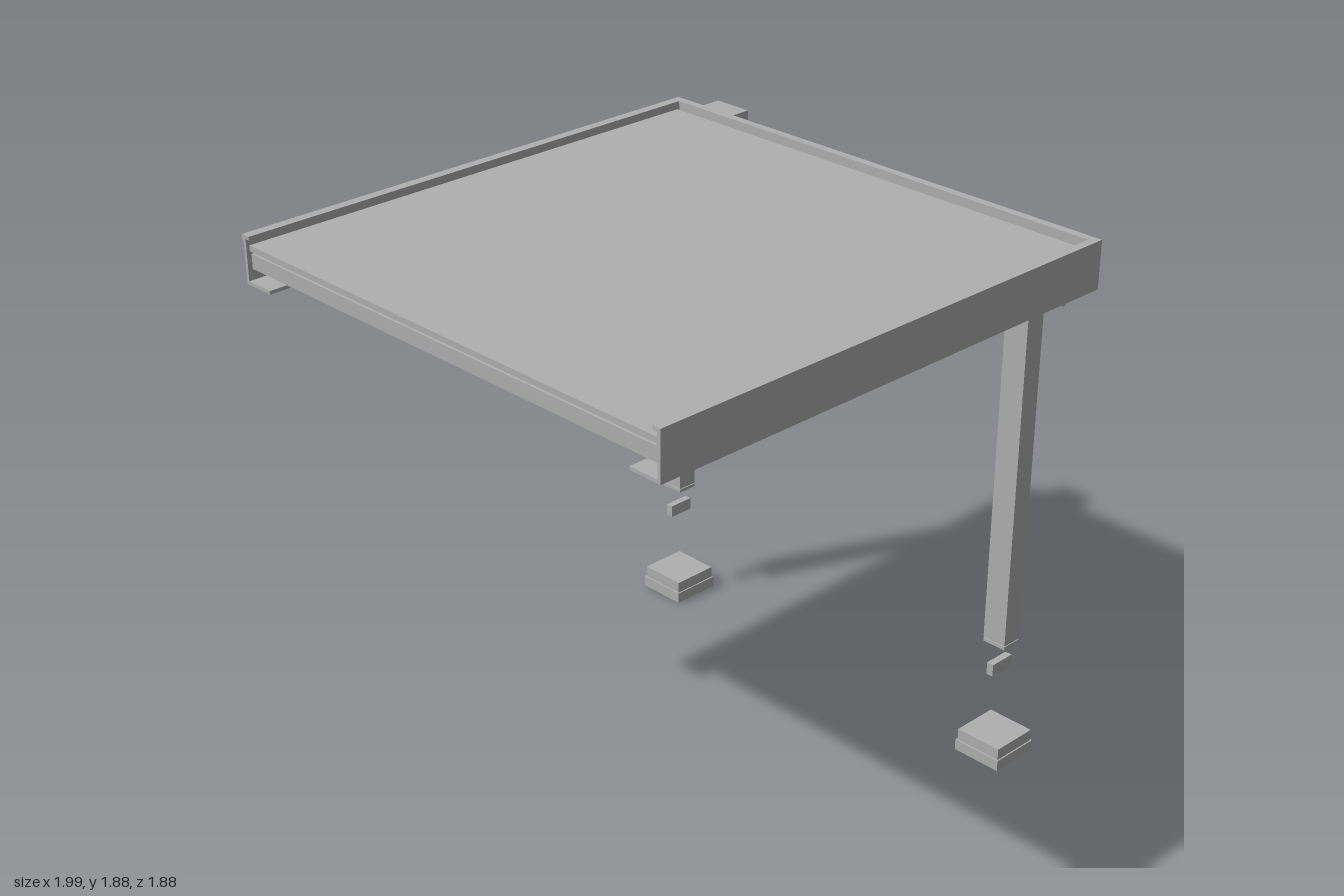
import * as THREE from 'three';

const grey = new THREE.MeshStandardMaterial({ color: 0xb0b0b0 });
grey.name = 'painted aluminium';

// Box given by its min and max along each axis
function box(parent, name, [x0, x1], [y0, y1], [z0, z1]) {
  const mesh = new THREE.Mesh(new THREE.BoxGeometry(x1 - x0, y1 - y0, z1 - z0), grey);
  mesh.position.set((x0 + x1) / 2, (y0 + y1) / 2, (z0 + z1) / 2);
  mesh.name = name;
  parent.add(mesh);
  return mesh;
}

// Channel section: s runs inward from the outer face, y runs up
function channelShape() {
  const pts = [[0, 1.715], [0.12, 1.715], [0.12, 1.727], [0.012, 1.727], [0.012, 1.868],
    [0.03, 1.868], [0.03, 1.88], [0, 1.88]];
  return new THREE.Shape(pts.map(([s, y]) => new THREE.Vector2(s, y)));
}

function channel(parent, name, length) {
  const geo = new THREE.ExtrudeGeometry(channelShape(), { depth: length, bevelEnabled: false });
  const mesh = new THREE.Mesh(geo, grey);
  mesh.name = name;
  parent.add(mesh);
  return mesh;
}

function rect(PathType, cx, cy, w, h) {
  const p = new PathType();
  p.moveTo(cx - w / 2, cy - h / 2);
  p.lineTo(cx + w / 2, cy - h / 2);
  p.lineTo(cx + w / 2, cy + h / 2);
  p.lineTo(cx - w / 2, cy + h / 2);
  p.closePath();
  return p;
}

function buildRoof() {
  const roof = new THREE.Group();
  roof.name = 'roof';
  box(roof, 'roofPanel', [-0.99, 0.845], [1.825, 1.845], [-0.92, 0.92]);

  // Perimeter channels on three sides, open on the -x side
  const back = channel(roof, 'backFascia', 1.87);
  back.rotation.y = -Math.PI / 2;
  back.position.set(0.87, 0, -0.935);
  const front = channel(roof, 'frontFascia', 1.87);
  front.rotation.y = Math.PI / 2;
  front.position.set(-1, 0, 0.935);
  const side = channel(roof, 'sideFascia', 1.87);
  side.rotation.y = Math.PI;
  side.position.set(0.87, 0, 0.935);

  // Rim and cover plates on the back fascia
  box(roof, 'backRim', [-1, 0.87], [1.86, 1.88], [-0.94, -0.93]);
  box(roof, 'backCornerCover', [0.62, 0.76], [1.72, 1.86], [-0.941, -0.934]);
  box(roof, 'backCornerCover', [0.775, 0.87], [1.72, 1.86], [-0.941, -0.934]);

  // Cross beams under the panel
  for (const x of [-0.985, -0.12]) {
    box(roof, 'crossBeam', [x, x + 0.06], [1.765, 1.815], [-0.92, 0.92]);
    box(roof, 'beamSpacer', [x + 0.015, x + 0.045], [1.815, 1.826], [-0.92, 0.92]);
  }
  return roof;
}

// Outlet box with two square openings on its outer face
function buildOutlet() {
  const outlet = new THREE.Group();
  outlet.name = 'outletBox';
  box(outlet, 'outletBody', [0.865, 0.96], [1.715, 1.86], [-0.855, -0.705]);
  const face = rect(THREE.Shape, 0.78, 1.7875, 0.15, 0.145);
  for (const y of [1.745, 1.833]) face.holes.push(rect(THREE.Path, 0.775, y, 0.036, 0.036));
  const plate = new THREE.Mesh(new THREE.ExtrudeGeometry(face, { depth: 0.025, bevelEnabled: false }), grey);
  plate.name = 'outletFace';
  plate.rotation.y = Math.PI / 2;
  plate.position.x = 0.96;
  outlet.add(plate);
  return outlet;
}

// Post with its bracket, separate connector and footing
function buildPost(z) {
  const post = new THREE.Group();
  post.name = 'postAssembly';
  box(post, 'post', [0.675, 0.75], [0.45, 1.715], [-0.045, 0.045]);
  box(post, 'postEndCap', [0.675, 0.75], [0.435, 0.447], [-0.045, 0.045]);
  box(post, 'postPlug', [0.68, 0.745], [0.44, 0.46], [-0.04, 0.04]);
  box(post, 'bracketPlate', [0.665, 0.77], [1.692, 1.715], [-0.055, 0.1]);
  box(post, 'bracketAngle', [0.765, 0.785], [1.67, 1.715], [-0.02, 0.1]);
  box(post, 'connector', [0.663, 0.76], [0.323, 0.368], [-0.013, 0.013]);
  box(post, 'footingBase', [0.62, 0.805], [0, 0.04], [-0.093, 0.093]);
  box(post, 'footingTop', [0.626, 0.8], [0.04, 0.082], [-0.088, 0.088]);
  post.position.z = z;
  return post;
}

export function createModel() {
  const model = new THREE.Group();
  model.name = 'canopy';
  model.add(buildRoof(), buildOutlet(), buildPost(0.78), buildPost(-0.776));
  return model;
}
